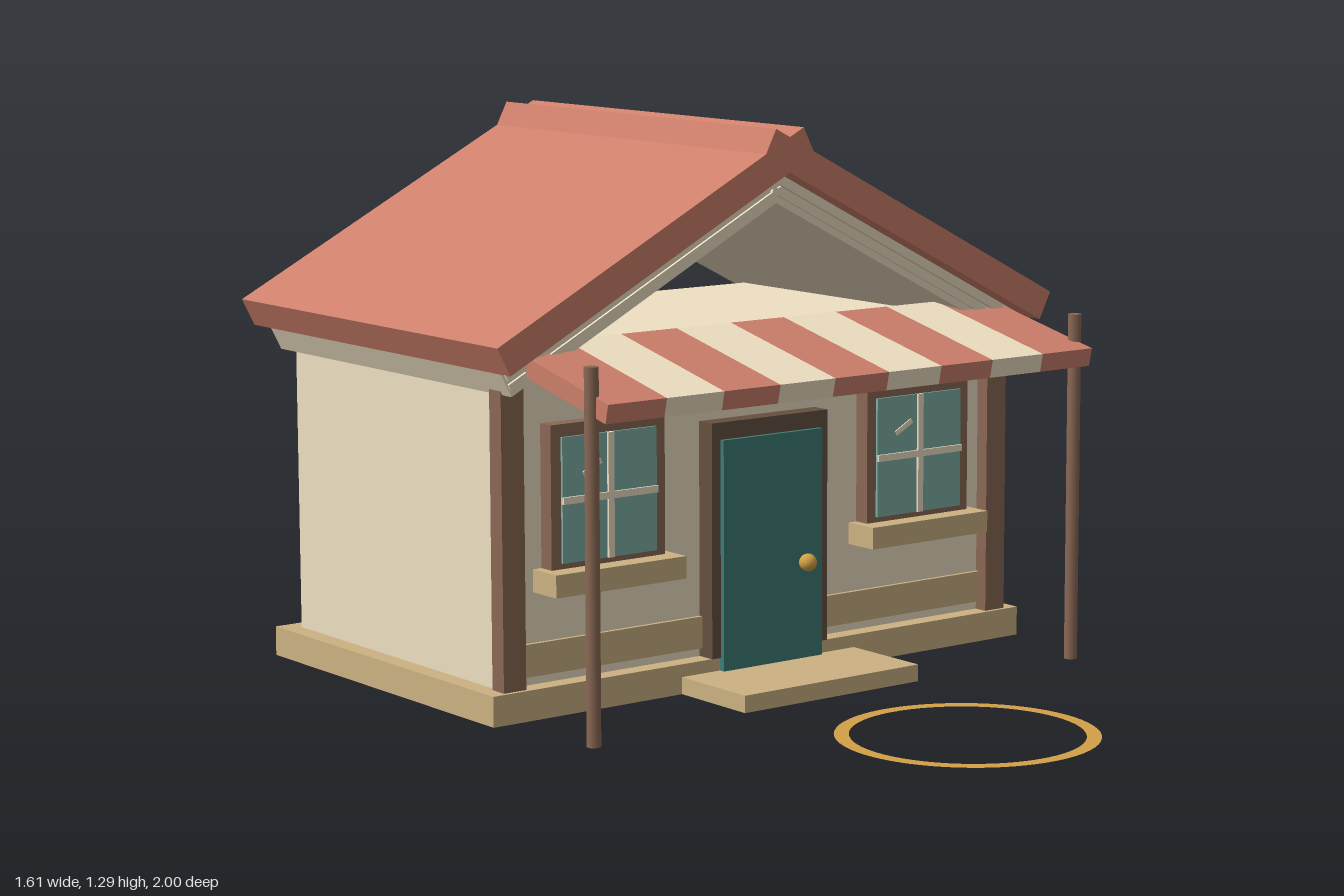
import * as THREE from 'three';

const mat = (color, side = THREE.FrontSide) => new THREE.MeshStandardMaterial({ color, side });

export function createModel() {
  const house = new THREE.Group();
  house.name = 'cottage';
  const red = mat(0xcd7f6a), cream = mat(0xeee0c2), tan = mat(0xccb283), brown = mat(0x8a6854),
    darkBrown = mat(0x655040), teal = mat(0x3d7d76), glass = mat(0x7fb0a6),
    gold = mat(0xd2a148), goldFlat = mat(0xd2a148, THREE.DoubleSide);

  const add = (name, geometry, material, parent = house) => {
    const mesh = new THREE.Mesh(geometry, material);
    mesh.name = name;
    parent.add(mesh);
    return mesh;
  };
  // Box given by its limits on each axis
  const block = (name, material, [x0, x1], [y0, y1], [z0, z1], parent) => {
    const mesh = add(name, new THREE.BoxGeometry(x1 - x0, y1 - y0, z1 - z0), material, parent);
    mesh.position.set((x0 + x1) / 2, (y0 + y1) / 2, (z0 + z1) / 2);
    return mesh;
  };

  // Foundation, walls and front step
  block('foundation', tan, [-0.775, 0.775], [0, 0.07], [-0.925, 0.005]);
  block('walls', cream, [-0.73, 0.73], [0.07, 0.8], [-0.88, -0.04]);
  block('wallBand', tan, [-0.69, 0.69], [0.09, 0.165], [-0.045, -0.03]);
  block('frontStep', tan, [-0.255, 0.255], [0, 0.04], [0, 0.24]);

  // Sloping slabs: apexY is where the upper face crosses x = 0,
  // low and high are distances along the slope from that point
  const pitch = Math.atan(0.515);
  const slope = (name, material, apexY, low, high, thick, z0, z1) => {
    for (const side of [-1, 1]) {
      const pivot = new THREE.Group();
      pivot.name = (side > 0 ? 'left' : 'right') + name;
      pivot.position.y = apexY;
      pivot.rotation.z = -side * pitch;
      const [a, b] = [-high * side, low * side].sort((p, q) => p - q);
      block(name, material, [a, b], [-thick, 0], [z0, z1], pivot);
      house.add(pivot);
    }
  };
  slope('RoofSlab', red, 1.27, 0.905, 0.045, 0.072, -1, 0.08);
  slope('EavesBoard', cream, 1.188, 0.86, 0.01, 0.064, -0.94, 0.03);
  slope('UpperGableRail', cream, 1.176, 0.85, 0.012, 0.014, 0.03, 0.042);
  slope('LowerGableRail', cream, 1.15, 0.84, 0.012, 0.014, 0.03, 0.037);

  // Corner columns and awning poles
  for (const side of [-1, 1]) {
    const x = side * 0.71;
    block('cornerColumn', brown, [x - 0.03, x + 0.03], [0.07, 0.75], [-0.05, -0.005]);
    const pole = add('awningPole', new THREE.CylinderGeometry(0.016, 0.016, 0.83, 12), brown);
    pole.position.set(side * 0.7, 0.415, 0.28);
  }

  // Striped awning, hinged at the wall
  const awning = new THREE.Group();
  awning.name = 'awning';
  awning.position.set(0, 0.84, -0.04);
  awning.rotation.x = 0.22;
  house.add(awning);
  const stripe = 1.4 / 9;
  for (let i = 0; i < 9; i++) {
    const x = -0.7 + i * stripe;
    block('awningStripe', i % 2 ? cream : red, [x, x + stripe], [-0.044, 0], [0, 0.39], awning);
  }

  // Door with frame and knob
  block('doorFrame', darkBrown, [-0.17, 0.17], [0.07, 0.62], [-0.045, 0.008]);
  block('door', teal, [-0.145, 0.145], [0.04, 0.58], [-0.02, 0.02]);
  const knob = add('doorKnob', new THREE.SphereGeometry(0.021, 20, 14), gold);
  knob.position.set(0.09, 0.27, 0.036);

  // Windows
  for (const x of [-0.455, 0.455]) {
    const win = new THREE.Group();
    win.name = 'window';
    win.position.set(x, 0.487, 0);
    house.add(win);
    block('windowFrame', brown, [-0.157, 0.157], [-0.157, 0.172], [-0.045, 0], win);
    block('windowGlass', glass, [-0.13, 0.13], [-0.142, 0.143], [-0.02, 0.006], win);
    block('verticalBar', cream, [-0.008, 0.008], [-0.142, 0.143], [0, 0.012], win);
    block('horizontalBar', cream, [-0.13, 0.13], [-0.008, 0.008], [0, 0.012], win);
    block('glassGlint', cream, [-0.077, -0.022], [0.062, 0.074], [0, 0.009], win).rotation.z = 0.5;
    block('windowSill', tan, [-0.18, 0.18], [-0.207, -0.155], [-0.045, 0.05], win);
  }

  // Flat ring on the ground before the door
  const ring = add('groundRing', new THREE.RingGeometry(0.26, 0.293, 64), goldFlat);
  ring.rotation.x = -Math.PI / 2;
  ring.position.set(0, 0.003, 0.705);

  return house;
}
